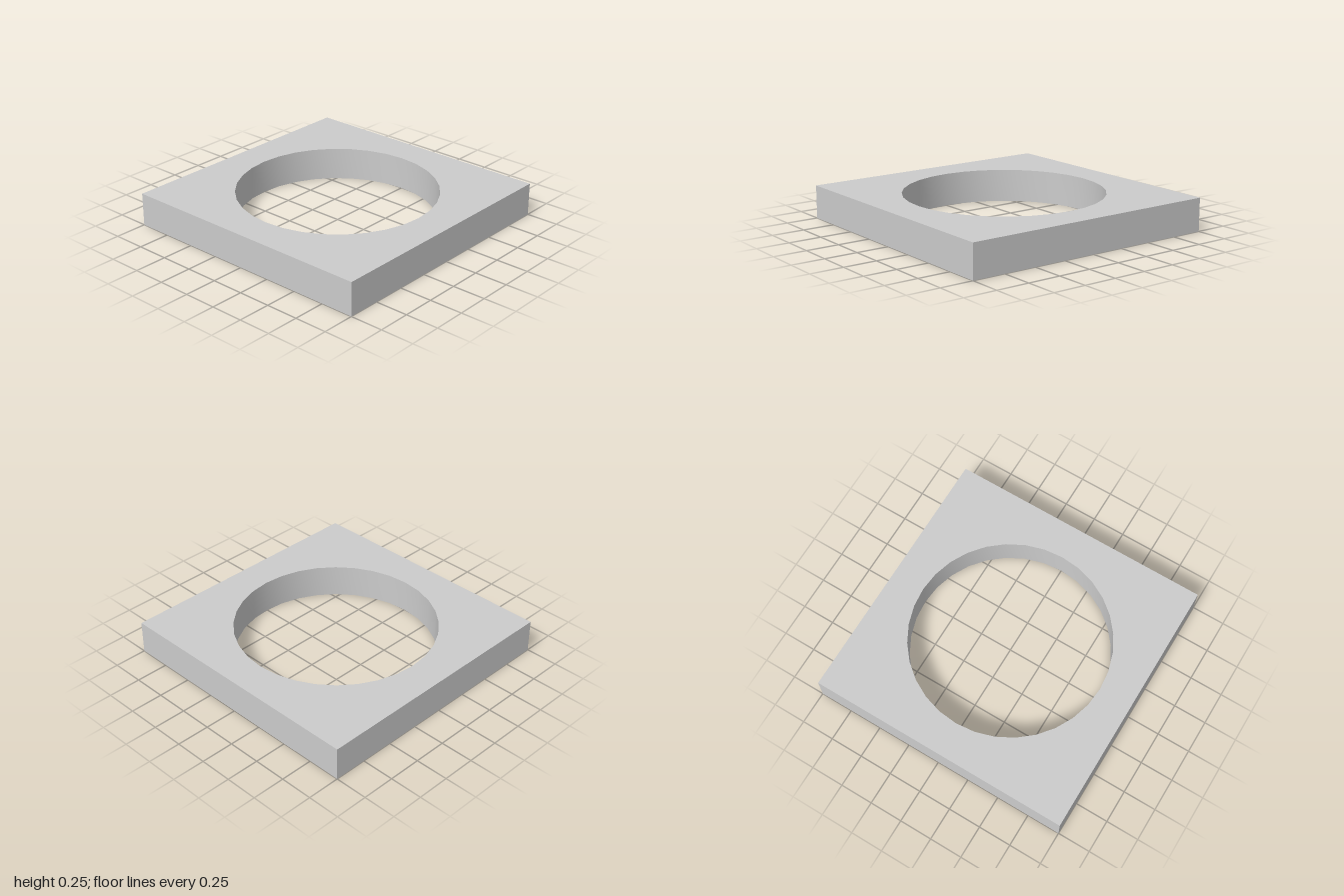
import * as THREE from 'three';
import { toCreasedNormals } from 'three/addons/utils/BufferGeometryUtils.js';

const SIZE = 2, HEIGHT = 0.25, HOLE_RADIUS = 0.746;

export function createModel() {
  const group = new THREE.Group();
  group.name = 'squarePlateWithHole';

  // Square outline with a round 32-sided opening
  const h = SIZE / 2;
  const outline = new THREE.Shape([
    new THREE.Vector2(-h, -h), new THREE.Vector2(h, -h),
    new THREE.Vector2(h, h), new THREE.Vector2(-h, h),
  ]);
  outline.holes.push(new THREE.Path().absarc(0, 0, HOLE_RADIUS, 0, Math.PI * 2, true));

  // Extruded upward; the hole wall is smooth, all other edges sharp
  const extruded = new THREE.ExtrudeGeometry(outline, {
    depth: HEIGHT, bevelEnabled: false, curveSegments: 16,
  });
  extruded.rotateX(-Math.PI / 2);

  const plate = new THREE.Mesh(
    toCreasedNormals(extruded, Math.PI / 6),
    new THREE.MeshStandardMaterial({ color: 0xcccccc }),
  );
  plate.name = 'plate';
  group.add(plate);
  return group;
}
